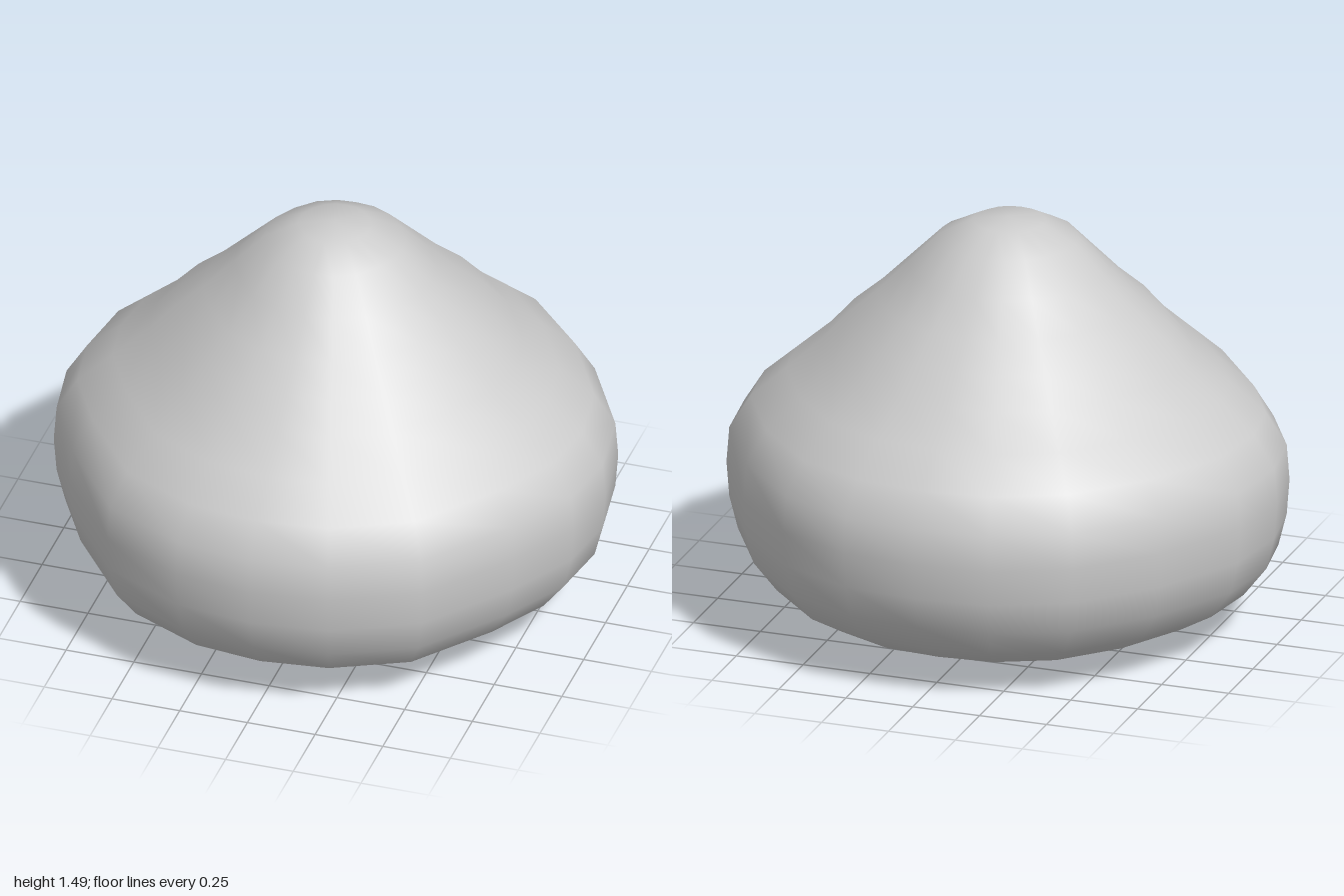
import * as THREE from 'three';
import { mergeVertices } from 'three/addons/utils/BufferGeometryUtils.js';

// Half plan outline [x, z] from front to back, mirrored across x
const HALF_PLAN = [
  [0, 0.98], [0.28, 0.945], [0.58, 0.8], [0.82, 0.49], [0.96, 0.24], [1, 0],
  [0.96, -0.27], [0.78, -0.59], [0.54, -0.84], [0.27, -0.965], [0, -0.99],
];

// Side profile [relative radius, y] from the base to the tip
const PROFILE = [
  [0, 0], [0.24, 0.025], [0.45, 0.033], [0.6, 0.05], [0.74, 0.09], [0.875, 0.17],
  [0.96, 0.28], [0.99, 0.4], [1, 0.53], [0.99, 0.66], [0.915, 0.78], [0.79, 0.89],
  [0.665, 1.0], [0.575, 1.1], [0.47, 1.19], [0.36, 1.3], [0.25, 1.41], [0.13, 1.472], [0, 1.485],
];

export function createModel() {
  const group = new THREE.Group();
  const plan = [...HALF_PLAN, ...HALF_PLAN.slice(0, -1).reverse().map(([x, z]) => [-x, z])];
  const segments = plan.length - 1;

  // Turned body, with each ring reshaped to the uneven plan outline
  const lathe = new THREE.LatheGeometry(PROFILE.map(([r, y]) => new THREE.Vector2(r, y)), segments);
  const pos = lathe.attributes.position;
  for (let i = 0; i < pos.count; i++) {
    const [x, z] = plan[Math.floor(i / PROFILE.length)];
    const r = PROFILE[i % PROFILE.length][0];
    pos.setX(i, x * r);
    pos.setZ(i, z * r);
  }

  // Weld the seam and poles for continuous smooth shading
  lathe.deleteAttribute('uv');
  lathe.deleteAttribute('normal');
  const geometry = mergeVertices(lathe, 1e-4);
  geometry.computeVertexNormals();

  const body = new THREE.Mesh(geometry, new THREE.MeshStandardMaterial({ color: 0xcccccc }));
  body.name = 'dropletBody';
  group.add(body);
  return group;
}
